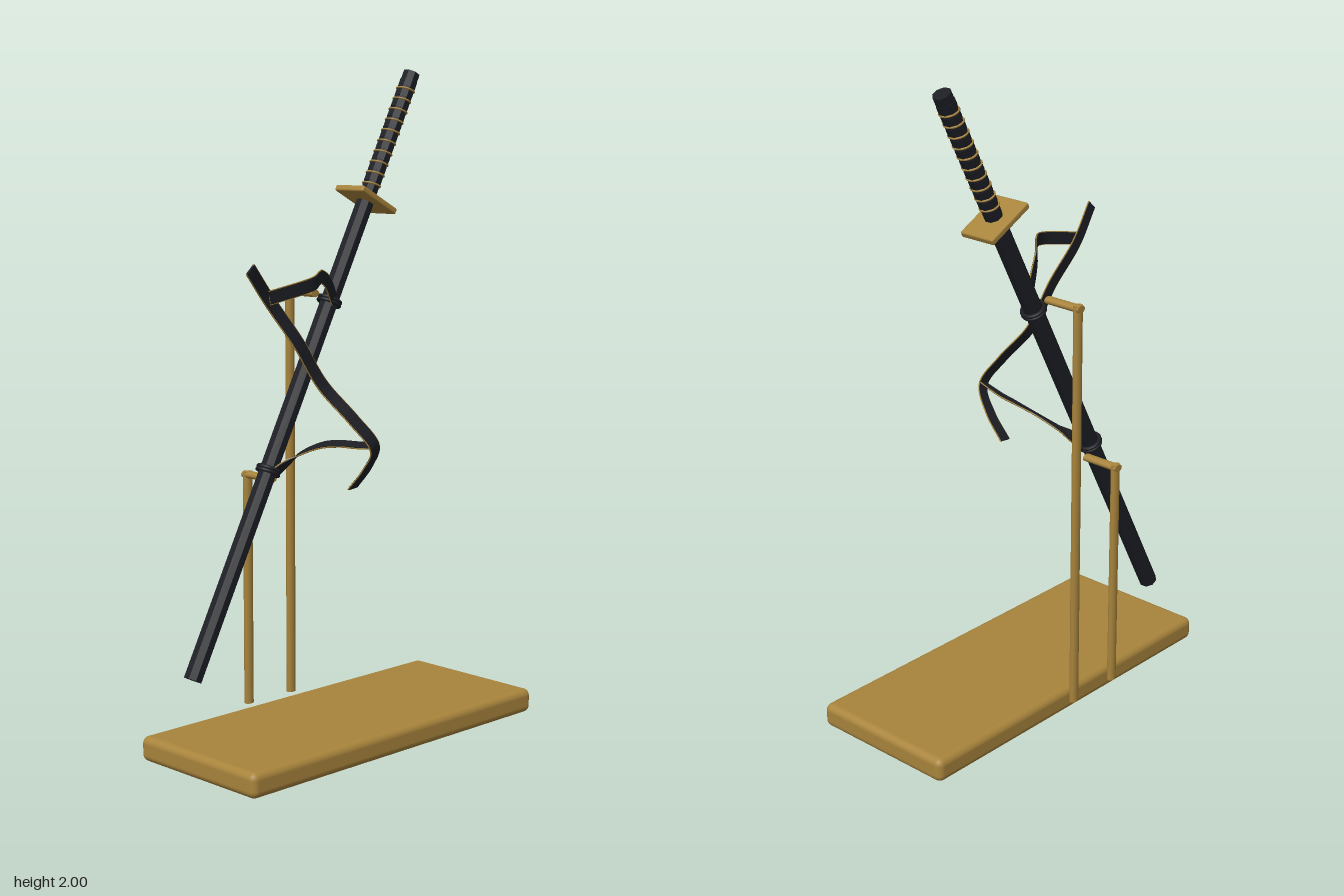
import * as THREE from 'three';
import { RoundedBoxGeometry } from 'three/addons/geometries/RoundedBoxGeometry.js';

const gold = new THREE.MeshStandardMaterial({ color: 0xa8843c });
const black = new THREE.MeshStandardMaterial({ color: 0x1c1e24 });
const facetedBlack = new THREE.MeshStandardMaterial({ color: 0x1c1e24, flatShading: true });

function add(parent, name, geometry, material, x = 0, y = 0, z = 0) {
  const mesh = new THREE.Mesh(geometry, material);
  mesh.name = name;
  mesh.position.set(x, y, z);
  parent.add(mesh);
  return mesh;
}

// Flat band swept along a curve; each point is [x, y, z], each side the band's width direction
function bandGeometry(points, sides, width, thickness, steps = 48) {
  const toCurve = (list) => new THREE.CatmullRomCurve3(list.map((p) => new THREE.Vector3(...p)));
  const path = toCurve(points), across = toCurve(sides);
  const pos = [], index = [];
  for (let i = 0; i <= steps; i++) {
    const t = i / steps;
    const p = path.getPoint(t), tangent = path.getTangent(t);
    const w = across.getPoint(t);
    w.addScaledVector(tangent, -w.dot(tangent)).normalize();
    const n = new THREE.Vector3().crossVectors(tangent, w);
    for (const [a, b] of [[-1, -1], [1, -1], [1, 1], [-1, 1]]) {
      const v = p.clone().addScaledVector(w, a * width / 2).addScaledVector(n, b * thickness / 2);
      pos.push(v.x, v.y, v.z);
    }
    if (i === steps) continue;
    for (let k = 0; k < 4; k++) {
      const a = i * 4 + k, b = i * 4 + (k + 1) % 4;
      index.push(a, b, b + 4, a, b + 4, a + 4);
    }
  }
  const e = steps * 4;
  index.push(0, 2, 1, 0, 3, 2, e, e + 1, e + 2, e, e + 2, e + 3);
  const g = new THREE.BufferGeometry();
  g.setAttribute('position', new THREE.Float32BufferAttribute(pos, 3));
  g.setIndex(index);
  const flat = g.toNonIndexed();
  flat.computeVertexNormals();
  return flat;
}

// Black ribbon with fine gold edging
function ribbon(parent, name, points, sides) {
  add(parent, name, bandGeometry(points, sides, 0.036, 0.006), black);
  add(parent, name + 'Edging', bandGeometry(points, sides, 0.041, 0.003), gold);
}

export function createModel() {
  const model = new THREE.Group();
  model.name = 'swordOnStand';

  // Base slab
  add(model, 'base', new RoundedBoxGeometry(1.18, 0.075, 0.49, 4, 0.022), gold, 0, 0.0375, 0.03);

  // Two posts with forward arms
  for (const [name, x, top] of [['lowerSupport', -0.122, 0.78], ['upperSupport', 0.056, 1.325]]) {
    const support = new THREE.Group();
    support.name = name;
    model.add(support);
    const h = top + 0.01 - 0.065;
    const post = add(support, 'post', new THREE.CylinderGeometry(0.016, 0.016, h, 12), gold, x, 0.065 + h / 2, -0.261);
    post.scale.z = 0.75;
    const arm = add(support, 'arm', new THREE.CylinderGeometry(0.016, 0.016, 0.125, 12), gold, x, top, -0.2105);
    arm.rotation.x = Math.PI / 2;
    arm.scale.z = 0.7;
  }

  // Sword, built upright from its tip and then leaned
  const sword = new THREE.Group();
  sword.name = 'sword';
  sword.position.set(-0.46, 0.232, -0.13);
  sword.rotation.z = -Math.atan2(0.915, 1.755);
  model.add(sword);

  const scabbard = new THREE.CylinderGeometry(0.0285, 0.0285, 1.54, 8);
  scabbard.rotateY(Math.PI / 8);
  add(sword, 'scabbard', scabbard, facetedBlack, 0, 0.77, 0);
  add(sword, 'guard', new RoundedBoxGeometry(0.165, 0.02, 0.12, 2, 0.006), gold, 0, 1.545, 0);
  const grip = new THREE.CylinderGeometry(0.027, 0.027, 0.42, 8);
  grip.rotateY(Math.PI / 8);
  add(sword, 'grip', grip, facetedBlack, 0, 1.767, 0);

  // Gold binding and raised black wraps along the grip
  for (let i = 0; i < 10; i++) {
    const y = 1.595 + i * 0.036;
    const ring = add(sword, 'gripBinding', new THREE.TorusGeometry(0.0275, 0.003, 6, 20), gold, 0, y, 0);
    ring.rotation.set(Math.PI / 2, 0.12, 0);
    add(sword, 'gripWrap', new THREE.CylinderGeometry(0.0285, 0.0285, 0.024, 8).rotateY(Math.PI / 8),
      facetedBlack, 0, y + 0.018, 0);
  }

  // Cord loops tied round the scabbard
  for (const y of [0.655, 1.205]) {
    for (const offset of [-0.005, 0.005]) {
      const loop = add(sword, 'cordLoop', new THREE.TorusGeometry(0.033, 0.006, 8, 24), black, 0, y + offset, 0);
      loop.rotation.x = Math.PI / 2;
    }
  }

  // Hanging ribbons
  ribbon(model, 'upperRibbon',
    [[0.1, 1.3, -0.11], [0.035, 1.36, -0.07], [-0.06, 1.39, 0], [-0.15, 1.395, 0.08], [-0.22, 1.385, 0.125], [-0.37, 1.355, 0.11]],
    [[0.4, 1, 0], [0.4, 1, 0], [0.1, 1, 0], [0, 1, 0], [-0.1, 1, 0], [-0.2, 1, 0]]);
  ribbon(model, 'longRibbon',
    [[-0.455, 1.44, 0.125], [-0.36, 1.34, 0.105], [-0.28, 1.225, 0.13], [-0.2, 1.1, 0.145],
      [-0.14, 1.0, 0.21], [-0.09, 0.92, 0.245], [-0.062, 0.85, 0.19], [-0.053, 0.78, 0.12]],
    [[1, 1, 0], [1, 0.8, 0], [1, 0.7, 0], [1, 0.65, 0], [1, 0.6, 0], [1, 0.5, 0], [1, 0.2, 0], [1, 0.1, 0]]);
  ribbon(model, 'lowerRibbon',
    [[-0.145, 0.81, -0.11], [-0.09, 0.86, -0.07], [-0.066, 0.893, 0], [-0.065, 0.907, 0.08], [-0.075, 0.914, 0.16], [-0.09, 0.925, 0.243]],
    [[1, -0.3, 0], [1, 0.4, 0], [1, 0.5, 0], [1, 0.4, 0], [1, 0.4, 0], [1, 0.5, 0]]);

  return model;
}
